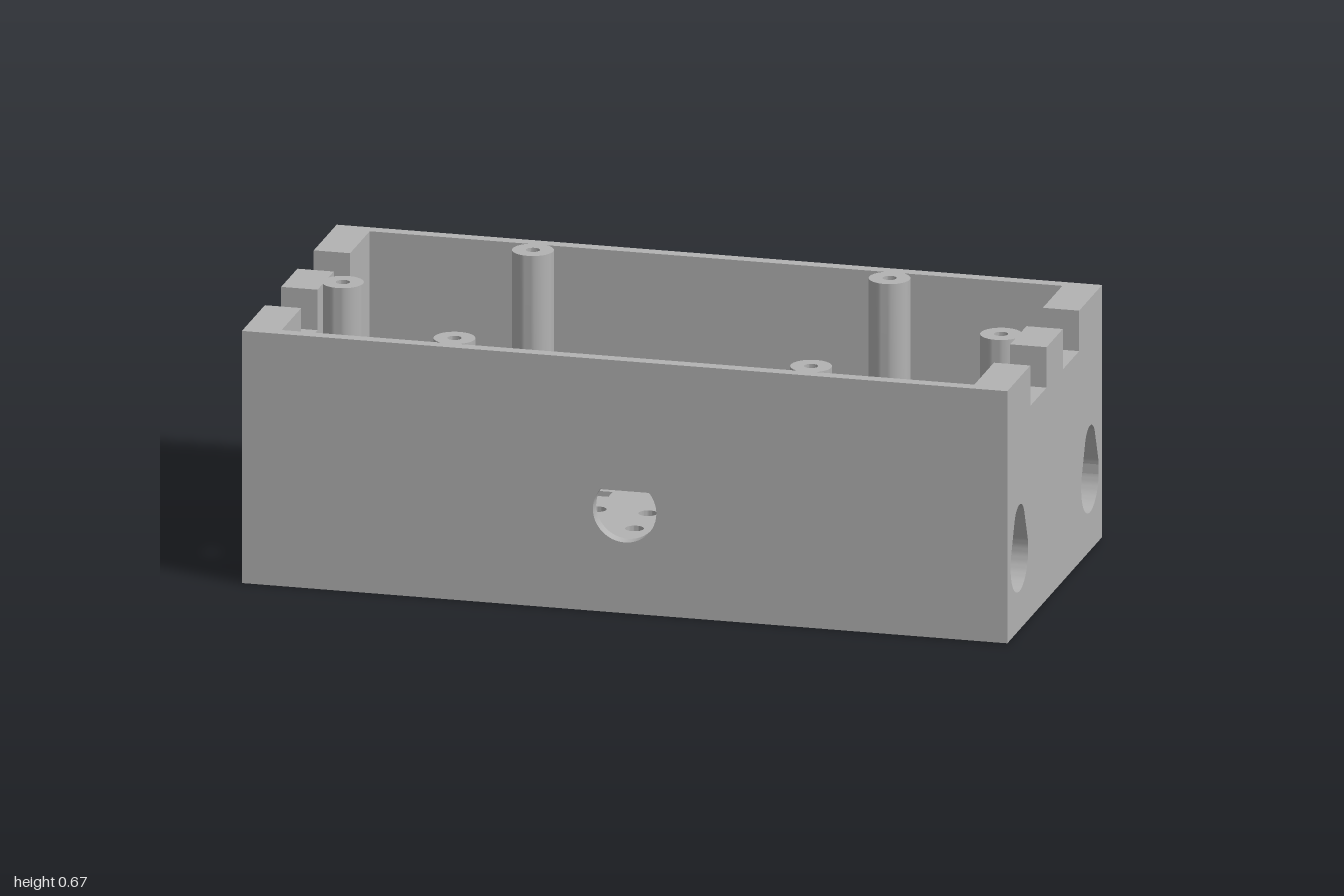
import * as THREE from 'three';
import { toCreasedNormals } from 'three/addons/utils/BufferGeometryUtils.js';

const W = 1, D = 0.467, H = 0.667;      // half width, half depth, height
const SIDE = 0.033, END = 0.095;        // wall thicknesses
const FLOOR = 0.033;

const circle = (x, y, r) => new THREE.Path().absarc(x, y, r, 0, Math.PI * 2, true);

function polygon(points, Type = THREE.Shape) {
  return new Type(points.map(([x, y]) => new THREE.Vector2(x, y)));
}

const rect = (x0, y0, x1, y1, Type) => polygon([[x0, y0], [x1, y0], [x1, y1], [x0, y1]], Type);

function extrude(shape, depth) {
  return new THREE.ExtrudeGeometry(shape, { depth, bevelEnabled: false, curveSegments: 24 });
}

// Pear-shaped cable opening: large circle below, small circle above
function pear(cx) {
  const y0 = 0.189, R = 0.087, y1 = 0.279, r = 0.052;
  const a = Math.asin((R - r) / (y1 - y0));
  const p = new THREE.Path();
  p.absarc(cx, y0, R, a, Math.PI - a, true);
  p.absarc(cx, y1, r, Math.PI - a, a, true);
  p.closePath();
  return p;
}

export function createModel() {
  const model = new THREE.Group();
  model.name = 'enclosure';
  const grey = new THREE.MeshStandardMaterial({ color: 0xb3b3b3 });
  grey.name = 'grey plastic';

  const add = (name, geometry) => {
    const mesh = new THREE.Mesh(toCreasedNormals(geometry, 0.6), grey);
    mesh.name = name;
    model.add(mesh);
    return mesh;
  };

  // Floor with a grid of vent holes and four strap slots
  const floor = rect(-W, -D, W, D);
  for (let i = -4; i <= 4; i++) {
    for (let j = -2; j <= 2; j++) floor.holes.push(circle(i * 0.1333, j * 0.1333, 0.024));
  }
  for (const sx of [-1, 1]) {
    for (const sz of [-1, 1]) {
      const x = sx * 0.401, z = sz * 0.397;
      floor.holes.push(rect(x - 0.135, z - 0.021, x + 0.135, z + 0.021, THREE.Path));
    }
  }
  add('floor', extrude(floor, FLOOR).rotateX(Math.PI / 2).translate(0, FLOOR, 0));

  // Long walls; only the front one has a round opening
  const front = rect(-W, 0, W, H);
  front.holes.push(circle(0, 0.27, 0.083));
  add('frontWall', extrude(front, SIDE).translate(0, 0, D - SIDE));
  add('backWall', extrude(rect(-W, 0, W, H), SIDE).translate(0, 0, -D));

  // Thick end walls with two notches in the rim and two cable openings
  const n = 0.56;
  const end = polygon([
    [-D, 0], [D, 0], [D, H], [0.241, H], [0.241, n], [0.08, n], [0.08, H],
    [-0.08, H], [-0.08, n], [-0.241, n], [-0.241, H], [-D, H],
  ]);
  end.holes.push(pear(0.348), pear(-0.348));
  for (const [name, x] of [['leftEndWall', W - END], ['rightEndWall', -W]]) {
    add(name, extrude(end, END).rotateY(Math.PI / 2).translate(x, 0, 0));
  }

  // Screw posts with blind bores, flush with the rim
  const profile = [
    [0, FLOOR], [0.053, FLOOR], [0.053, H], [0.018, H], [0.018, H - 0.2], [0, H - 0.2],
  ].map(([x, y]) => new THREE.Vector2(x, y));
  const spots = [[-0.86, 0], [0.86, 0]];
  for (const x of [-0.466, 0.466]) spots.push([x, -0.387], [x, 0.387]);
  for (const [x, z] of spots) {
    add('screwPost', new THREE.LatheGeometry(profile, 40)).position.set(x, 0, z);
  }

  return model;
}
